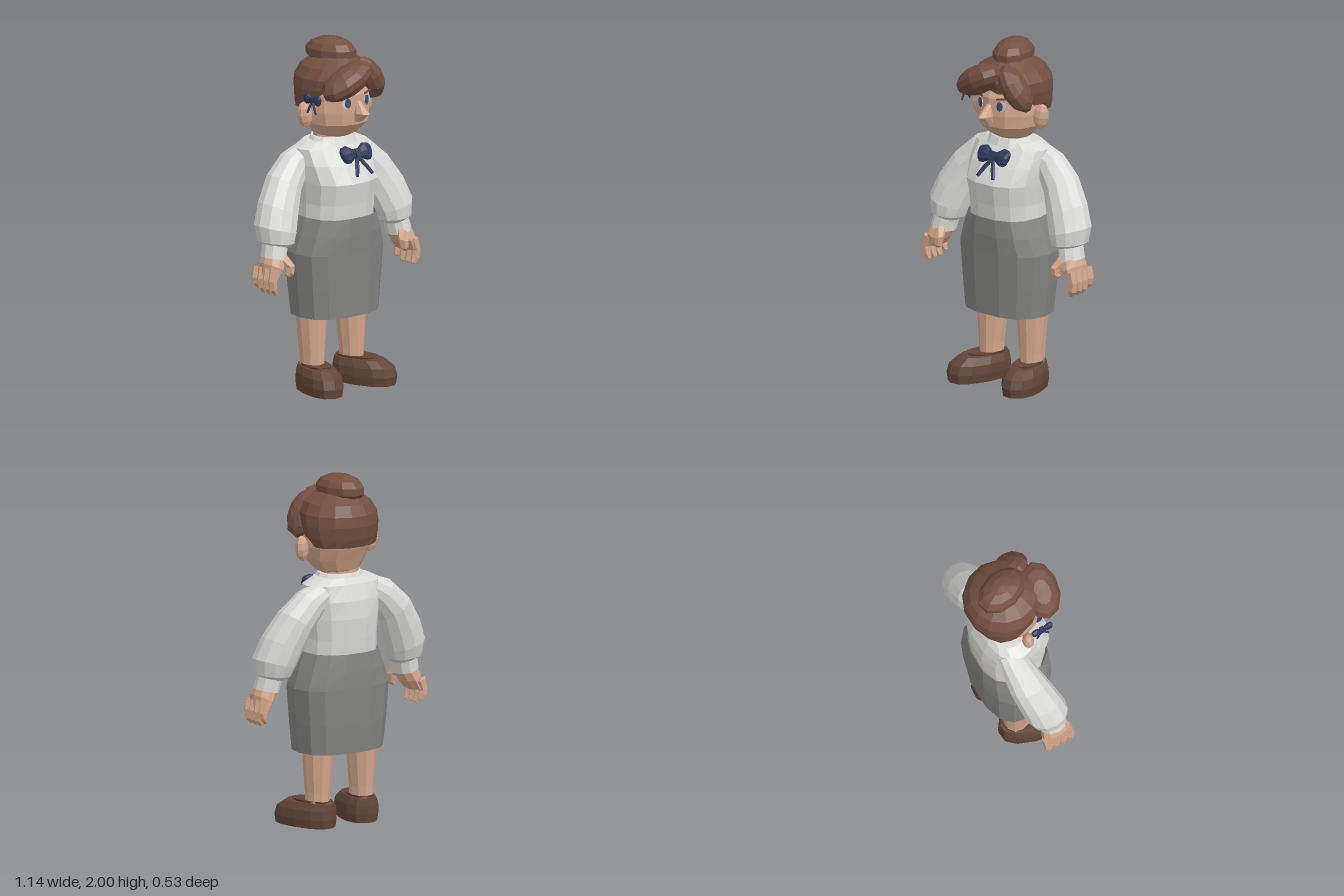
import * as THREE from 'three';

const mat = (name, color, extra = {}) => new THREE.MeshStandardMaterial({ name, color, ...extra });

// Faceted normals: every triangle gets its own corners
function facet(geometry) {
  const g = geometry.index ? geometry.toNonIndexed() : geometry;
  g.computeVertexNormals();
  return g;
}

// Skin oval rings [x, y, z, half-width, half-depth] along a path lying mostly in the xy plane.
// power above 2 makes the ovals boxier.
function sweep(rings, sides = 12, { power = 2, caps = true } = {}) {
  const pos = [], idx = [];
  const bend = (v) => Math.sign(v) * Math.pow(Math.abs(v), 2 / power);
  rings.forEach(([x, y, z, a, b], i) => {
    const p = rings[Math.max(i - 1, 0)], q = rings[Math.min(i + 1, rings.length - 1)];
    const len = Math.hypot(q[0] - p[0], q[1] - p[1]) || 1;
    const tx = (q[0] - p[0]) / len, ty = (q[1] - p[1]) / len;
    for (let j = 0; j < sides; j++) {
      const t = (j / sides) * Math.PI * 2, c = bend(Math.cos(t)) * a, s = bend(Math.sin(t)) * b;
      pos.push(x - ty * c, y + tx * c, z + s);
    }
  });
  const last = (rings.length - 1) * sides;
  for (let i = 0; i < last; i += sides) {
    for (let j = 0; j < sides; j++) {
      const k = (j + 1) % sides;
      idx.push(i + j, i + k, i + sides + k, i + j, i + sides + k, i + sides + j);
    }
  }
  for (let j = 1; caps && j < sides - 1; j++) {
    idx.push(0, j + 1, j, last, last + j, last + j + 1);
  }
  const g = new THREE.BufferGeometry();
  g.setAttribute('position', new THREE.Float32BufferAttribute(pos, 3));
  g.setIndex(idx);
  return facet(g);
}

// Rings given as [y, front z, back z, half-width] for upright forms
const upright = (rows, x = 0) => rows.map(([y, f, b, w]) => [x, y, (f + b) / 2, w, (f - b) / 2]);

export function createModel() {
  const model = new THREE.Group();
  model.name = 'figure';
  const skin = mat('skin', 0xd3a68c);
  const hair = mat('hair brown', 0x735041);
  const leather = mat('shoe brown', 0x624638);
  const shirt = mat('shirt white', 0xdadad8);
  const grey = mat('skirt grey', 0x848482, { side: THREE.DoubleSide });
  const navy = mat('navy', 0x323a5a);
  const iris = mat('iris blue', 0x3f5075);
  const white = mat('eye white', 0xc8cdd2);

  const add = (name, geometry, material, parent = model) => {
    const m = new THREE.Mesh(geometry, material);
    m.name = name;
    parent.add(m);
    return m;
  };
  const blob = (name, material, at, size, rot = [0, 0, 0], w = 10, h = 7) => {
    const m = add(name, facet(new THREE.SphereGeometry(1, w, h).scale(...size)), material);
    m.position.set(...at);
    m.rotation.set(...rot);
    return m;
  };

  // Head and neck
  add('head', sweep(upright([
    [1.43, 0.03, -0.10, 0.07], [1.465, 0.09, -0.15, 0.135], [1.53, 0.158, -0.18, 0.185],
    [1.60, 0.167, -0.215, 0.2], [1.70, 0.167, -0.24, 0.2], [1.80, 0.12, -0.22, 0.18],
  ], 0.01)), skin);
  add('neck', sweep(upright([[1.36, 0.06, -0.15, 0.12], [1.5, 0.05, -0.14, 0.11]])), skin);
  add('nose', sweep(upright([
    [1.665, 0.172, 0.15, 0.014], [1.6, 0.247, 0.12, 0.034], [1.55, 0.185, 0.13, 0.022],
  ], 0.01), 8), skin);

  for (const s of [1, -1]) {
    const side = s > 0 ? 'left' : 'right';
    blob(side + 'Ear', skin, [s * 0.232 + 0.005, 1.595, -0.02], [0.045, 0.075, 0.034], [0, s * 0.4, -s * 0.15], 8, 6);
    // Eyes and brows lie as thin plates on the face
    const eye = new THREE.Group();
    eye.name = side + 'Eye';
    eye.position.set(0.01 + s * 0.07, 1.66, 0.15);
    eye.rotation.y = s * 0.27;
    model.add(eye);
    const plate = (name, m, w, h, x, y, z) =>
      add(name, facet(new THREE.CylinderGeometry(1, 1, 0.006, 8).rotateX(Math.PI / 2).scale(w, h, 1)), m, eye)
        .position.set(x, y, z);
    plate('eyeWhite', white, 0.03, 0.03, s * 0.008, 0, 0);
    plate('iris', iris, 0.019, 0.029, 0, 0, 0.003);
    const brow = add('brow', facet(new THREE.BoxGeometry(0.06, 0.009, 0.008)), hair, eye);
    brow.position.set(s * 0.01, 0.045, 0.002);
    brow.rotation.z = s * 0.15;
  }

  // Hair: cap, two swept locks and a bun
  add('hairCap', sweep(upright([
    [1.61, 0.02, -0.235, 0.195], [1.66, 0.10, -0.255, 0.215], [1.73, 0.15, -0.268, 0.224],
    [1.79, 0.17, -0.262, 0.22], [1.85, 0.16, -0.23, 0.185], [1.9, 0.09, -0.15, 0.1],
  ], 0.01), 14), hair);
  blob('fringe', hair, [-0.07, 1.79, 0.155], [0.17, 0.082, 0.11], [0, -0.2, 0.5]);
  blob('sideLock', hair, [0.145, 1.765, 0.09], [0.15, 0.075, 0.1], [0, 0.3, -1.0]);
  blob('bun', hair, [0.003, 1.915, -0.055], [0.108, 0.087, 0.16], [0, 0.25, 0]);

  // Blouse body and collar
  add('blouse', sweep(upright([
    [0.98, 0.17, -0.212, 0.222], [1.08, 0.18, -0.222, 0.218], [1.2, 0.2, -0.23, 0.23],
    [1.3, 0.145, -0.22, 0.24], [1.39, 0.07, -0.19, 0.24], [1.425, 0.05, -0.17, 0.17],
  ]), 14, { power: 2.4 }), shirt);
  add('collar', sweep(upright([[1.4, 0.085, -0.17, 0.16], [1.445, 0.065, -0.155, 0.13]])), shirt);

  // Skirt, open at the hem
  add('skirt', sweep(upright([
    [0.43, 0.165, -0.21, 0.262], [0.6, 0.172, -0.225, 0.28], [0.8, 0.18, -0.232, 0.295],
    [0.9, 0.187, -0.23, 0.262], [1.0, 0.185, -0.222, 0.222],
  ]), 14, { power: 2.6, caps: false }), grey);

  for (const s of [1, -1]) {
    const side = s > 0 ? 'left' : 'right';
    const mirror = (rings) => rings.map(([x, ...r]) => [x * s, ...r]);

    // Puffed sleeve and cuff
    add(side + 'Sleeve', sweep(mirror([
      [0.16, 1.345, -0.10, 0.07, 0.08], [0.24, 1.295, -0.10, 0.095, 0.09],
      [0.33, 1.2, -0.085, 0.11, 0.11], [0.4, 1.07, -0.055, 0.125, 0.12],
      [0.44, 0.97, -0.035, 0.125, 0.125], [0.445, 0.9, -0.025, 0.105, 0.11],
      [0.45, 0.875, -0.02, 0.065, 0.07],
    ])), shirt);
    add(side + 'Cuff', sweep(mirror([
      [0.455, 0.9, -0.02, 0.068, 0.078], [0.475, 0.81, -0.01, 0.07, 0.08],
    ]), 10), shirt);

    // Hand with four curled fingers and a thumb
    add(side + 'Palm', sweep(mirror([
      [0.47, 0.83, -0.01, 0.062, 0.072], [0.5, 0.77, -0.005, 0.058, 0.09], [0.525, 0.71, -0.01, 0.034, 0.085],
    ]), 10), skin);
    for (let f = 0; f < 4; f++) {
      const z = -0.08 + f * 0.046, drop = f === 0 ? 0.02 : 0;
      add(side + 'Finger', sweep(mirror([
        [0.525, 0.76, z, 0.036, 0.026], [0.546, 0.7, z, 0.026, 0.026],
        [0.54, 0.655 + drop, z, 0.026, 0.024], [0.522, 0.625 + drop, z, 0.014, 0.014],
      ]), 6), skin);
    }
    add(side + 'Thumb', sweep(mirror([
      [0.46, 0.82, 0.04, 0.036, 0.034], [0.432, 0.775, 0.075, 0.03, 0.032],
      [0.436, 0.735, 0.08, 0.024, 0.026], [0.452, 0.72, 0.075, 0.014, 0.016],
    ]), 6), skin);

    // Leg
    add(side + 'Leg', sweep(mirror([
      [0.15, 0.1, -0.045, 0.064, 0.074], [0.15, 0.2, -0.045, 0.067, 0.078],
      [0.148, 0.42, -0.05, 0.09, 0.09], [0.145, 0.8, -0.04, 0.12, 0.12],
    ]), 10), skin);

    // Slip-on shoe, toe turned outwards
    const shoe = new THREE.Group();
    shoe.name = side + 'Shoe';
    shoe.position.set(s * 0.172, 0, 0.04);
    shoe.rotation.y = s * 0.28;
    model.add(shoe);
    add('shoeUpper', sweep([
      [0, 0, 0, 0.1, 0.192], [0, 0.05, 0, 0.107, 0.198], [0, 0.1, -0.008, 0.103, 0.188],
      [0, 0.14, -0.035, 0.083, 0.155], [0, 0.152, -0.05, 0.072, 0.128], [0, 0.11, -0.055, 0.062, 0.112],
    ], 12, { power: 2.4 }), leather, shoe);
    add('foot', sweep([
      [0, 0.08, -0.05, 0.066, 0.115], [0, 0.13, -0.06, 0.06, 0.1],
    ], 10), skin, shoe);
  }

  // Ribbon bow: two loops, two tails and a knot
  const bow = (name, at, rot, size) => {
    const g = new THREE.Group();
    g.name = name;
    g.position.set(...at);
    g.rotation.set(...rot);
    g.scale.setScalar(size);
    model.add(g);
    add('knot', facet(new THREE.BoxGeometry(0.04, 0.05, 0.05)), navy, g);
    for (const s of [1, -1]) {
      add('loop', sweep([
        [s * 0.01, 0, 0, 0.022, 0.018], [s * 0.06, 0.004, 0, 0.052, 0.03],
        [s * 0.095, 0, 0, 0.048, 0.026], [s * 0.106, -0.002, 0, 0.03, 0.014],
      ], 8), navy, g);
      add('tail', sweep([
        [0, -0.01, 0, 0.012, 0.012], [s * 0.035, -0.08, 0.008, 0.015, 0.009], [s * 0.058, -0.13, 0.01, 0.012, 0.007],
      ], 6), navy, g);
    }
  };
  bow('neckBow', [0.02, 1.355, 0.135], [-0.5, 0, 0], 1);
  bow('hairBow', [-0.245, 1.695, 0.06], [0, -Math.PI / 2, 0], 0.6);

  return model;
}
